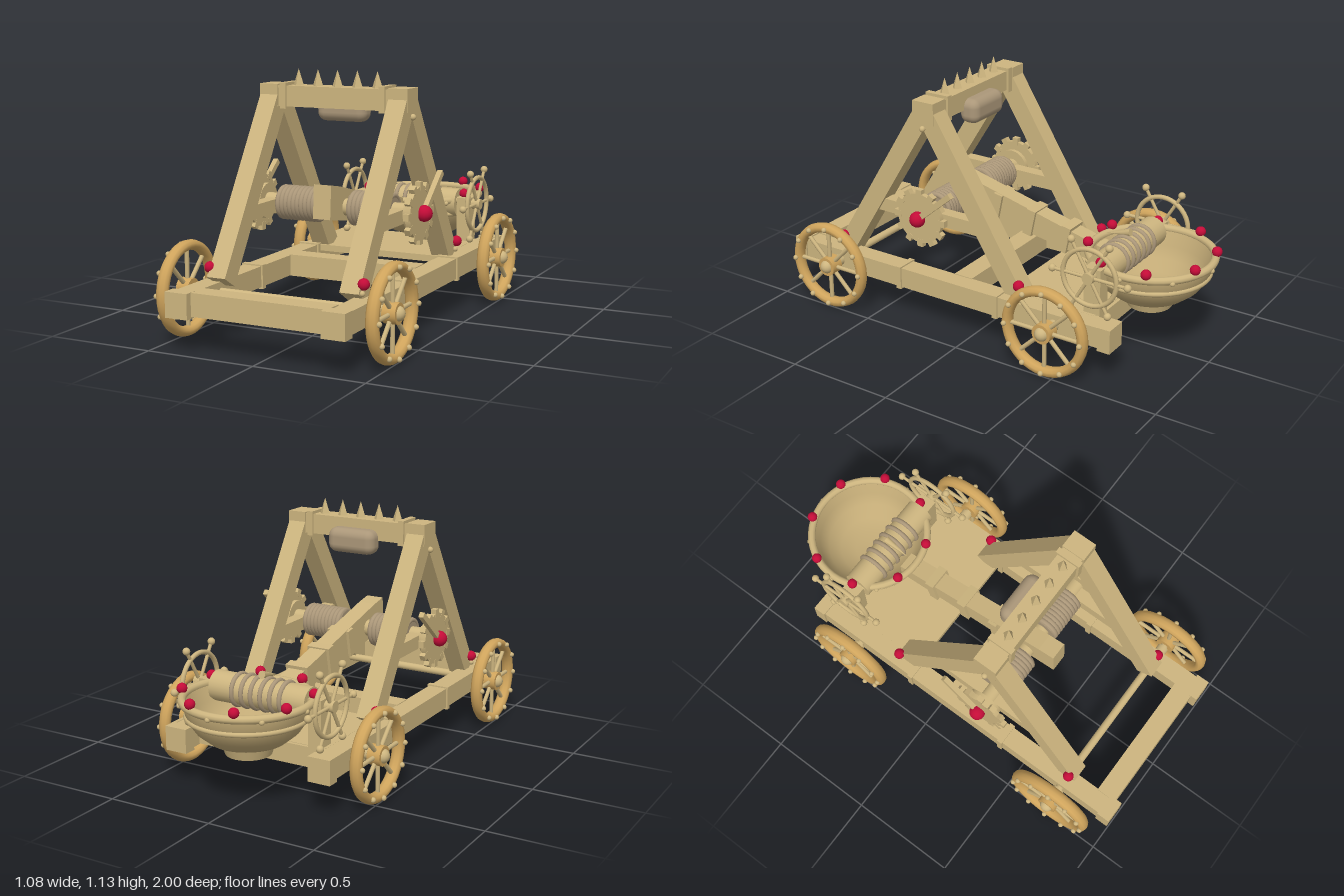
import * as THREE from 'three';
import { RoundedBoxGeometry } from 'three/addons/geometries/RoundedBoxGeometry.js';

const mat = (name, color, side = THREE.FrontSide) => {
  const m = new THREE.MeshStandardMaterial({ color, side });
  m.name = name;
  return m;
};

export function createModel() {
  const wood = mat('wood', 0xcdb57f);
  const wheelWood = mat('wheelWood', 0xcfa45c);
  const bowlWood = mat('bowlWood', 0xc2aa76, THREE.DoubleSide);
  const rope = mat('rope', 0xab9779);
  const red = mat('red', 0xc40c38);
  const root = new THREE.Group();
  root.name = 'catapult';

  const add = (name, geo, material, x = 0, y = 0, z = 0, parent = root) => {
    const m = new THREE.Mesh(geo, material);
    m.name = name;
    m.position.set(x, y, z);
    parent.add(m);
    return m;
  };
  const box = (name, w, h, d, x, y, z, parent) =>
    add(name, new THREE.BoxGeometry(w, h, d), wood, x, y, z, parent);
  const ball = (name, r, material, x, y, z, parent) =>
    add(name, new THREE.SphereGeometry(r, 16, 12), material, x, y, z, parent);
  // Cylinder lying along x
  const rod = (name, r, len, material, x, y, z, parent, sides = 24) =>
    add(name, new THREE.CylinderGeometry(r, r, len, sides).rotateZ(Math.PI / 2), material, x, y, z, parent);
  // Ring around the x axis
  const ring = (name, r, tube, material, x, y, z, parent) =>
    add(name, new THREE.TorusGeometry(r, tube, 10, 40).rotateY(Math.PI / 2), material, x, y, z, parent);
  const group = (name, x, y, z) => {
    const g = new THREE.Group();
    g.name = name;
    g.position.set(x, y, z);
    root.add(g);
    return g;
  };
  // Radial bar in the yz plane, from r0 to r1
  const radialBar = (name, r, r0, r1, a, x, parent) => {
    const m = add(name, new THREE.CylinderGeometry(r, r, r1 - r0, 8), wood, x,
      Math.sin(a) * (r0 + r1) / 2, Math.cos(a) * (r0 + r1) / 2, parent);
    m.rotation.x = Math.PI / 2 - a;
    return m;
  };

  // Chassis
  for (const s of [-1, 1]) {
    box('sideRail', 0.09, 0.095, 1.72, s * 0.36, 0.212, 0.135);
    for (const [z, d] of [[0.968, 0.064], [0.38, 0.026], [-0.15, 0.026], [-0.7, 0.06]])
      box('railCollar', 0.106, 0.11, d, s * 0.36, 0.211, z);
  }
  box('frontCrossbar', 0.64, 0.1, 0.095, 0, 0.215, 0.922);
  box('middleCrossbar', 0.64, 0.1, 0.095, 0, 0.213, 0.08);
  box('rearCrossbar', 0.64, 0.09, 0.08, 0, 0.213, -0.58);
  box('deck', 0.64, 0.03, 0.45, 0, 0.245, -0.38);

  // Wheels and axles
  for (const z of [0.725, -0.455]) {
    rod('axle', 0.018, 1.0, wood, 0, 0.215, z);
    for (const s of [-1, 1]) {
      const w = group('wheel', s * 0.485, 0.215, z);
      const rim = ring('wheelRim', 0.187, 0.023, wheelWood, 0, 0, 0, w);
      rim.scale.x = 1.25;
      rod('hub', 0.045, 0.06, wheelWood, 0, 0, 0, w);
      ball('hubCap', 0.032, wood, s * 0.022, 0, 0, w);
      rod('hubWasher', 0.027, 0.03, wood, -s * 0.055, 0, 0, w);
      for (let i = 0; i < 8; i++)
        radialBar('spoke', 0.01, 0.03, 0.175, i * Math.PI / 4, 0, w);
      for (let i = 0; i < 12; i++) {
        const a = i * Math.PI / 6;
        ball('rimStud', 0.012, wood, s * 0.03, Math.sin(a) * 0.188, Math.cos(a) * 0.188, w);
      }
    }
  }

  // A-frames with braces, bolts and the top beam
  for (const s of [-1, 1]) {
    for (const f of [-1, 1]) {
      const leg = box('frameLeg', 0.087, 0.87, 0.09, s * 0.312, 0.63, 0.255 + f * 0.246);
      leg.rotation.x = -f * Math.atan2(0.46, 0.74);
      ball('footBolt', 0.025, red, s * 0.362, 0.32, 0.245 + f * 0.49);
      ball('footStud', 0.012, wood, s * 0.36, 0.283, 0.255 + f * 0.49);
    }
    ball('topStud', 0.014, wood, s * 0.36, 0.945, 0.257);
    box('frameBrace', 0.06, 0.062, 0.56, s * 0.312, 0.523, 0.27);
    box('beamCollar', 0.028, 0.115, 0.122, s * 0.24, 1.018, 0.255);
    box('beamEnd', 0.09, 0.1, 0.112, s * 0.313, 1.018, 0.255);
  }
  box('topBeam', 0.71, 0.092, 0.1, 0, 1.016, 0.255);
  for (let i = -2; i <= 2; i++)
    add('spike', new THREE.ConeGeometry(0.026, 0.075, 4).toNonIndexed(), wood, i * 0.096, 1.098, 0.255)
      .geometry.computeVertexNormals();
  add('cushion', new RoundedBoxGeometry(0.24, 0.115, 0.1, 3, 0.04), rope, 0, 0.963, 0.19);

  // Torsion axle with rope coils
  rod('torsionAxle', 0.038, 0.8, wood, 0, 0.535, 0.257);
  for (const s of [-1, 1]) {
    rod('coilCore', 0.068, 0.2, rope, s * 0.175, 0.535, 0.257);
    for (let i = 0; i < 10; i++)
      ring('coilTurn', 0.066, 0.013, rope, s * (0.09 + i * 0.0195), 0.535, 0.257);
    rod('axlePlate', 0.08, 0.02, wood, s * 0.36, 0.535, 0.257);

    // Ratchet gear with crank
    const g = group('ratchet', s * 0.39, 0.535, 0.257);
    rod('gearDisc', 0.118, 0.024, wood, 0, 0, 0, g, 32);
    for (let i = 0; i < 12; i++) {
      const a = i * Math.PI / 6;
      const t = box('gearTooth', 0.026, 0.036, 0.03, 0, Math.sin(a) * 0.119, Math.cos(a) * 0.119, g);
      t.rotation.x = Math.PI / 2 - a;
    }
    const a = Math.PI - 0.7;
    const crank = box('crankHandle', 0.024, 0.22, 0.026, s * 0.023, Math.sin(a) * 0.13, Math.cos(a) * 0.13, g);
    crank.rotation.x = Math.PI / 2 - a;
    ball('axleKnob', 0.036, red, s * 0.026, 0, 0, g);
  }

  // Throwing arm: tapered side profile, drawn in (z, y) and turned to run along z
  const profile = new THREE.Shape([[0.41, 0.5], [0.4, 0.65], [0.32, 0.635], [-0.48, 0.435], [-0.48, 0.35]]
    .map(([z, y]) => new THREE.Vector2(-z, y)));
  const armGeo = new THREE.ExtrudeGeometry(profile, { depth: 0.084, bevelEnabled: false });
  add('throwingArm', armGeo.translate(0, 0, -0.042).rotateY(Math.PI / 2), wood);
  for (const z of [0.08, -0.1, -0.285]) {
    const band = box('armBand', 0.112, 0.126, 0.045, 0, 0.492 + z * 0.205, z);
    band.rotation.x = -0.2;
  }

  // Bowl with beaded rim
  const bowl = group('bowl', 0, 0, -0.7);
  const outline = [[0, 0.25], [0.1, 0.253], [0.165, 0.275], [0.22, 0.32], [0.258, 0.375], [0.275, 0.45],
    [0.26, 0.452], [0.242, 0.385], [0.205, 0.335], [0.15, 0.292], [0.08, 0.272], [0, 0.27]];
  add('bowlShell', new THREE.LatheGeometry(outline.map(p => new THREE.Vector2(...p)), 48), bowlWood, 0, 0, 0, bowl);
  add('bowlFoot', new THREE.CylinderGeometry(0.115, 0.1, 0.045, 32), wood, 0, 0.236, 0, bowl);
  for (const [r, tube, y] of [[0.275, 0.018, 0.455], [0.258, 0.012, 0.385]])
    add('bowlBand', new THREE.TorusGeometry(r, tube, 10, 48).rotateX(Math.PI / 2), wood, 0, y, 0, bowl);
  for (let i = 0; i < 8; i++) {
    const a = (i + 0.5) * Math.PI / 4, b = i * Math.PI / 4;
    ball('rimBall', 0.023, red, Math.cos(a) * 0.28, 0.485, Math.sin(a) * 0.28, bowl);
    ball('bowlStud', 0.012, wood, Math.cos(b) * 0.287, 0.445, Math.sin(b) * 0.287, bowl);
  }

  // Winch roller above the bowl
  rod('roller', 0.068, 0.48, wood, 0, 0.44, -0.58);
  rod('rollerShaft', 0.02, 0.68, wood, 0, 0.44, -0.58);
  for (let i = 0; i < 6; i++)
    ring('rollerRope', 0.068, 0.011, rope, -0.12 + i * 0.048, 0.44, -0.58);
  const hook = add('hook', new THREE.ConeGeometry(0.018, 0.13, 8).rotateX(Math.PI / 2), wood, 0, 0.51, -0.53);
  hook.rotation.x = 0.25;
  for (const s of [-1, 1]) {
    box('winchPost', 0.065, 0.22, 0.08, s * 0.275, 0.36, -0.58);
    const w = group('winchWheel', s * 0.332, 0.44, -0.58);
    ring('winchRim', 0.13, 0.011, wood, 0, 0, 0, w);
    rod('winchHub', 0.026, 0.04, wood, 0, 0, 0, w);
    for (let i = 0; i < 6; i++) {
      const a = i * Math.PI / 3;
      radialBar('winchSpoke', 0.008, 0.01, 0.18, a, 0, w);
      ball('winchKnob', 0.017, wood, 0, Math.sin(a) * 0.183, Math.cos(a) * 0.183, w);
    }
  }
  return root;
}
